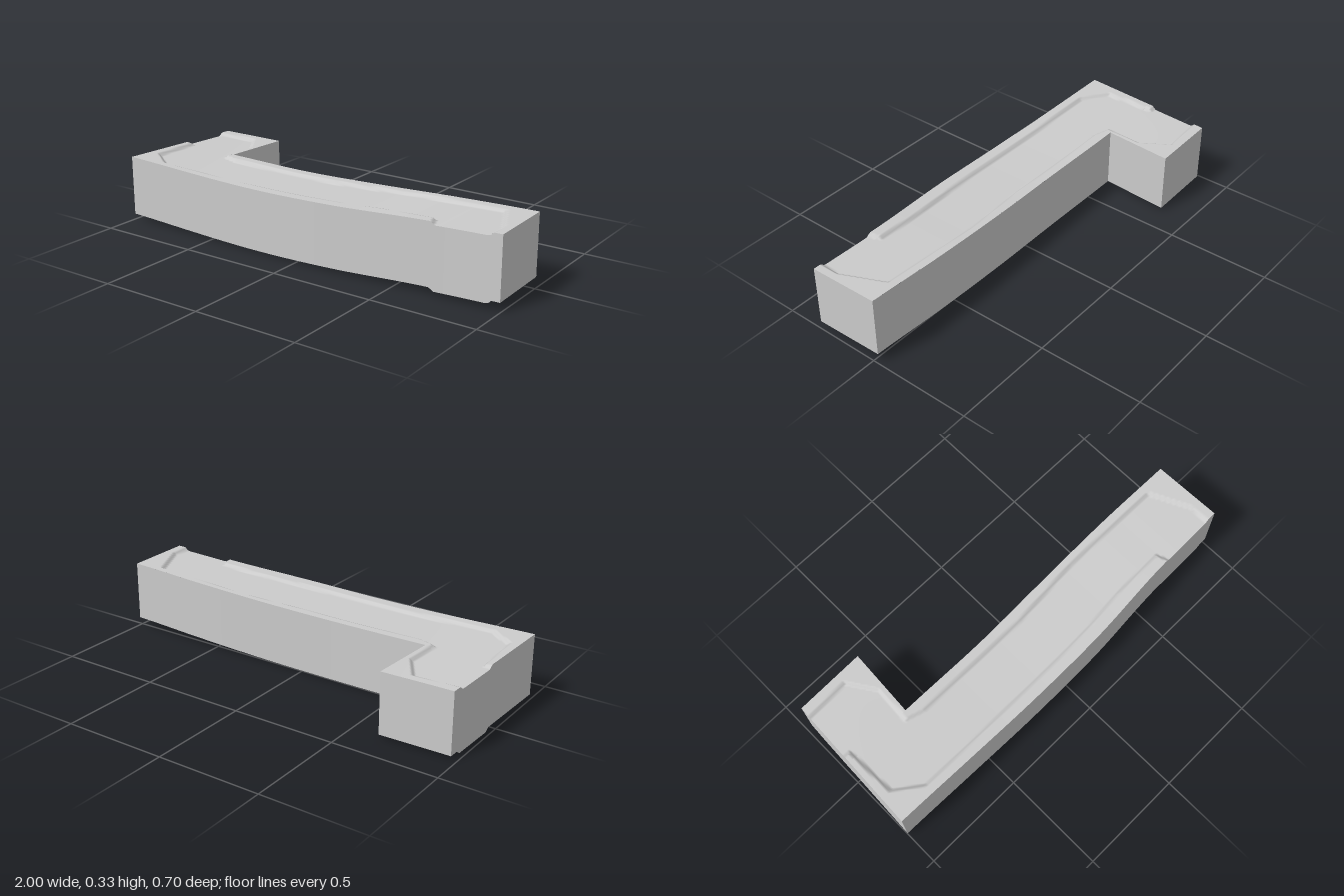
import * as THREE from 'three';
import { ParametricGeometry } from 'three/addons/geometries/ParametricGeometry.js';

const { lerp, clamp, smoothstep } = THREE.MathUtils;
const WALL = 0.29;      // height of the side skirt
const DEPTH = 0.016;    // depth of the channel below its banks

// Smooth curve through values spaced evenly over x = -1 .. 1
function profile(values) {
  const s = new THREE.SplineCurve(values.map((v, i) => new THREE.Vector2(i, v)));
  return x => s.getPoint(clamp((x + 1) / 2, 0, 1)).y;
}
const ground = profile([0.3115, 0.304, 0.299, 0.307, 0.322, 0.335]);
const frontZ = profile([0.333, 0.34, 0.347, 0.343, 0.318, 0.311]);
const backZ = profile([-0.015, -0.015, -0.012, -0.022, -0.028, -0.022]);
const INNER_Z = -0.015;
const leftX = z => lerp(-0.972, -1, (z + 0.345) / 0.68);
const rightX = z => lerp(0.993, 1, (z + 0.02) / 0.33);
const footX = z => lerp(-0.635, -0.655, (z + 0.349) / 0.334);
const footBackZ = u => lerp(-0.343, -0.349, u);

// Plan of the channel bed; it runs out through the end of the foot and the front
const bed = [
  [-1.1, -0.05], [-0.955, -0.05], [-0.945, 0.2], [-0.82, 0.29], [0, 0.287], [0.2, 0.28],
  [0.4, 0.262], [0.66, 0.26], [0.71, 0.4], [0.95, 0.4], [0.955, 0.22], [0.86, 0.02],
  [0.35, 0.012], [0, 0.038], [-0.6, 0.038], [-0.68, 0.015], [-0.675, -0.17],
  [-0.76, -0.3], [-0.95, -0.29], [-1.1, -0.28],
];

// Signed distance to the bed outline, positive inside
function bedDistance(x, z) {
  let inside = false, best = Infinity;
  bed.forEach(([ax, az], i) => {
    const [bx, bz] = bed[(i + 1) % bed.length];
    const dx = bx - ax, dz = bz - az;
    const t = clamp(((x - ax) * dx + (z - az) * dz) / (dx * dx + dz * dz), 0, 1);
    best = Math.min(best, Math.hypot(x - ax - t * dx, z - az - t * dz));
    if ((az > z) !== (bz > z) && x < ax + dx * (z - az) / dz) inside = !inside;
  });
  return inside ? best : -best;
}

function height(x, z) {
  const tilt = 0.019 * z * clamp((-0.5 - x) / 0.5, 0, 1);
  return ground(x) + tilt - DEPTH * smoothstep(bedDistance(x, z), -0.01, 0.012);
}

export function createModel() {
  const group = new THREE.Group();
  const material = new THREE.MeshStandardMaterial({ color: 0xcccccc, side: THREE.DoubleSide });
  const add = (name, fn, nu, nv) => {
    const mesh = new THREE.Mesh(new ParametricGeometry(fn, nu, nv), material);
    mesh.name = name;
    group.add(mesh);
  };
  // Ground patch: plan(u, v) gives x, z
  const surface = (name, plan, nu, nv) => add(name, (u, v, p) => {
    const [x, z] = plan(u, v);
    p.set(x, height(x, z), z);
  }, nu, nv);
  // Skirt dropped from the ground's rim: edge(u) gives x, z
  const wall = (name, edge, nu) => add(name, (u, v, p) => {
    const [x, z] = edge(u);
    p.set(x, height(x, z) - WALL * (1 - v), z);
  }, nu, 1);

  // Top of the long arm and of the short foot
  surface('longArmGround', (u, v) => {
    const x0 = lerp(-1, 1, u);
    const z = lerp(frontZ(x0), backZ(x0), v);
    return [lerp(leftX(z), rightX(z), u), z];
  }, 180, 40);
  surface('footGround', (u, v) => {
    const z = lerp(INNER_Z, footBackZ(u), v);
    return [lerp(leftX(z), footX(z), u), z];
  }, 40, 40);

  // Side walls, open underneath
  wall('frontWall', u => {
    const x = lerp(-1, 1, u);
    return [x, frontZ(x)];
  }, 150);
  wall('longArmEndWall', u => {
    const z = lerp(frontZ(1), backZ(1), u);
    return [rightX(z), z];
  }, 30);
  wall('backWall', u => {
    const x = lerp(0.993, footX(INNER_Z), u);
    return [x, backZ(x)];
  }, 100);
  wall('footInnerWall', u => {
    const z = lerp(INNER_Z, -0.349, u);
    return [footX(z), z];
  }, 30);
  wall('footBackWall', u => [lerp(-0.635, leftX(-0.343), u), footBackZ(1 - u)], 30);
  wall('footOuterWall', u => {
    const z = lerp(-0.343, 0.333, u);
    return [leftX(z), z];
  }, 60);

  return group;
}
